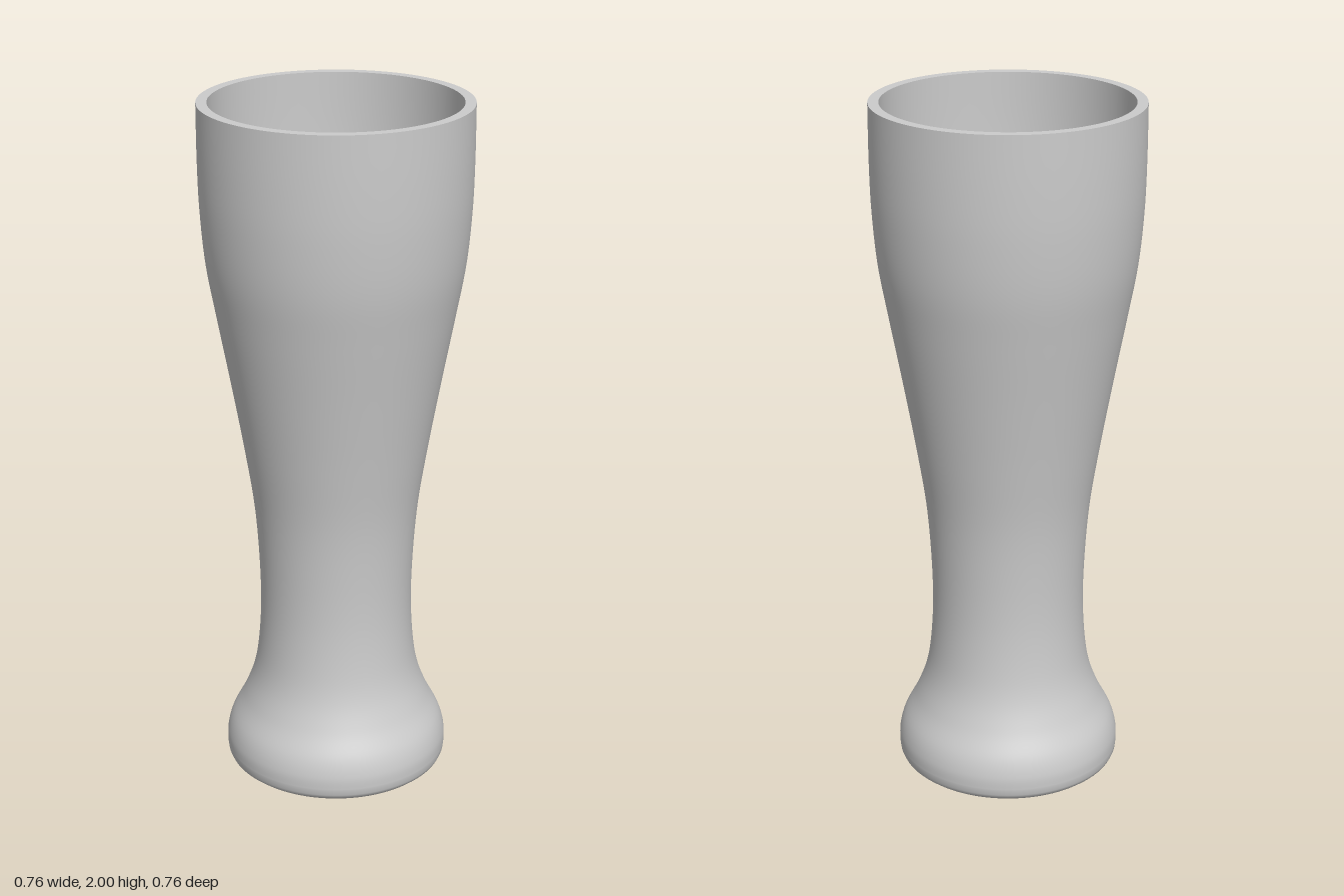
import * as THREE from 'three';

const SEGMENTS = 96;

export function createModel() {
  const group = new THREE.Group();
  group.name = 'tallGlass';
  const material = new THREE.MeshStandardMaterial({ color: 0xcccccc });

  const vectors = (pairs) => pairs.map(([r, y]) => new THREE.Vector2(r, y));
  const smooth = (pairs, n) => new THREE.SplineCurve(vectors(pairs)).getPoints(n);
  const addLathe = (name, points) => {
    const mesh = new THREE.Mesh(new THREE.LatheGeometry(points, SEGMENTS), material);
    mesh.name = name;
    group.add(mesh);
  };

  // Outer silhouette from foot to rim
  const wall = [
    [0.327, 0.04], [0.326, 0.08], [0.312, 0.13], [0.276, 0.2], [0.246, 0.28], [0.23, 0.37],
    [0.222, 0.5], [0.225, 0.65], [0.238, 0.82], [0.265, 1.0], [0.3, 1.2],
    [0.337, 1.4], [0.363, 1.55], [0.376, 1.7], [0.38, 1.84], [0.38, 2],
  ];

  // Foot underside with a small rounded edge, flowing into the body
  addLathe('body', [
    ...vectors([[0, 0], [0.29, 0], [0.309, 0.004], [0.32, 0.013], [0.325, 0.024]]),
    ...smooth(wall, 90),
  ]);

  // Flat rim
  addLathe('rim', vectors([[0.38, 2], [0.35, 2]]));

  // Inside wall follows the outside at constant thickness, down to the thick base
  const inner = wall.filter(([, y]) => y >= 0.5).map(([r, y]) => [r - 0.03, y]).reverse();
  addLathe('innerWall', smooth(inner, 60));

  // Inside floor
  addLathe('innerFloor', vectors([[0.192, 0.5], [0, 0.5]]));

  return group;
}
